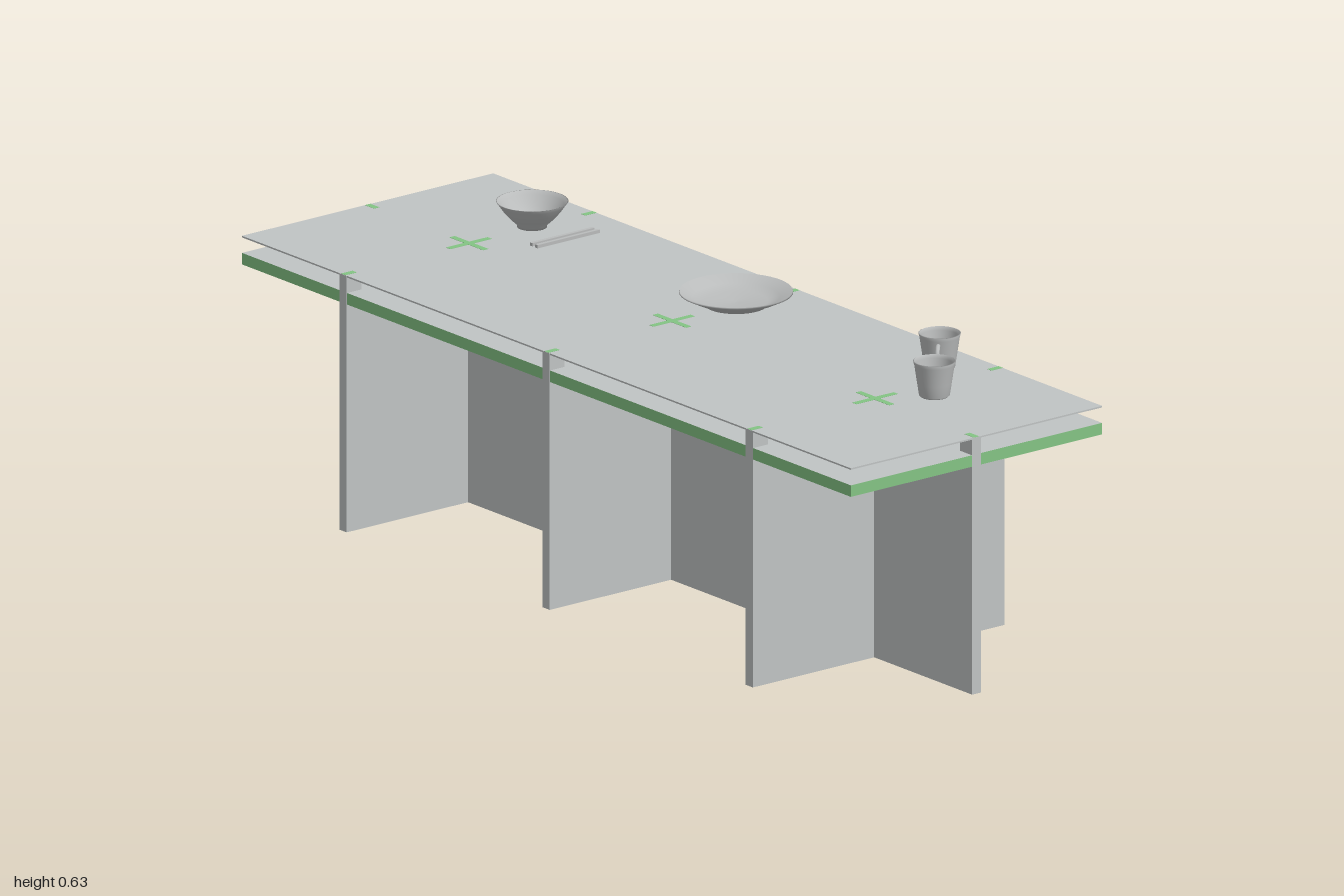
import * as THREE from 'three';

const mat = (name, color, side = THREE.FrontSide) => {
  const m = new THREE.MeshStandardMaterial({ color, side });
  m.name = name;
  return m;
};

const HALF_X = 1, HALF_Z = 0.333;          // table footprint
const SHELF_Y0 = 0.494, SHELF_Y1 = 0.519;  // thick slab
const TOP_Y0 = 0.5525, TOP_Y1 = 0.556;     // thin top sheet
const T = 0.024;                           // panel thickness
const CROSS_X = [-0.667, 0, 0.667];        // cross panel positions
const END_TAB = 0.039, MID_TAB = 0.06;

export function createModel() {
  const panelGrey = mat('panelGrey', 0xc0c4c4);
  const edgeGreen = mat('edgeGreen', 0x84c484);
  const wareGrey = mat('wareGrey', 0xbabcbc, THREE.DoubleSide);

  const model = new THREE.Group();
  model.name = 'diningTable';

  const add = (name, geo, material, x = 0, y = 0, z = 0, parent = model) => {
    const mesh = new THREE.Mesh(geo, material);
    mesh.name = name;
    mesh.position.set(x, y, z);
    parent.add(mesh);
    return mesh;
  };
  const box = (name, material, w, h, d, x, y, z) =>
    add(name, new THREE.BoxGeometry(w, h, d), material, x, y, z);

  // Upright panel whose top edge is notched into tabs; drawn in x-y
  const panelGeometry = (half, tabCentres) => {
    const h = half + 0.0008, base = SHELF_Y0 + 0.002;
    const tabs = [
      [-h, -half + END_TAB],
      ...tabCentres.map(c => [c - MID_TAB, c + MID_TAB]),
      [half - END_TAB, h],
    ];
    const s = new THREE.Shape();
    s.moveTo(h, 0);
    for (const [a, b] of tabs.reverse()) {
      // only the end blocks' outer strip passes the slab edge
      s.lineTo(b, base);
      s.lineTo(b, TOP_Y1 - 0.0002);
      s.lineTo(a, TOP_Y1 - 0.0002);
      s.lineTo(a, base);
    }
    s.lineTo(-h, 0);
    s.closePath();
    const g = new THREE.ExtrudeGeometry(s, { depth: T, bevelEnabled: false });
    g.translate(0, 0, -T / 2);
    return g;
  };

  // Base: one long panel crossed by three short ones
  add('longPanel', panelGeometry(HALF_X, CROSS_X), panelGrey);
  for (const x of CROSS_X) {
    add('crossPanel', panelGeometry(HALF_Z, [0]), panelGrey, x).rotation.y = Math.PI / 2;
  }

  // Slab with coloured edges, and the thin top sheet
  const slabMaterials = [edgeGreen, edgeGreen, panelGrey, panelGrey, edgeGreen, edgeGreen];
  box('slab', slabMaterials, 2 * HALF_X, SHELF_Y1 - SHELF_Y0, 2 * HALF_Z, 0, (SHELF_Y0 + SHELF_Y1) / 2, 0);
  box('topSheet', panelGrey, 2 * HALF_X, TOP_Y1 - TOP_Y0, 2 * HALF_Z, 0, (TOP_Y0 + TOP_Y1) / 2, 0);

  // Tab ends showing in the top sheet
  const inlay = (w, d, x, z) => box('tabInlay', edgeGreen, w, 0.001, d, x, TOP_Y1, z);
  const W = 0.014, END = 0.03;
  for (const x of CROSS_X) {
    inlay(W, 0.11, x, 0);
    inlay(0.11, W, x, 0);
    for (const s of [-1, 1]) inlay(W, END, x, s * (HALF_Z - END / 2));
  }
  for (const s of [-1, 1]) inlay(END, W, s * (HALF_X - END / 2), 0);

  // Tableware
  const lathe = (points, segments = 40) =>
    new THREE.LatheGeometry(points.map(([r, y]) => new THREE.Vector2(r, y)), segments);

  add('bowl', lathe([
    [0, 0.001], [0.031, 0.001], [0.031, 0.006], [0.046, 0.02], [0.06, 0.036], [0.069, 0.049], [0.075, 0.057],
    [0.073, 0.057], [0.066, 0.049], [0.056, 0.036], [0.042, 0.021], [0.028, 0.011], [0, 0.009],
  ]), wareGrey, -0.67, TOP_Y1, -0.17);

  add('plate', lathe([
    [0, 0.001], [0.065, 0.001], [0.068, 0.006], [0.09, 0.014], [0.118, 0.028],
    [0.117, 0.031], [0.09, 0.018], [0.066, 0.009], [0, 0.006],
  ], 48), wareGrey, 0, TOP_Y1, -0.17);

  for (const x of [-0.571, -0.554]) {
    box('chopstick', wareGrey, 0.008, 0.007, 0.165, x, TOP_Y1 + 0.004, -0.17);
  }

  const cup = (x, z, turn) => {
    const g = new THREE.Group();
    g.name = 'cup';
    g.position.set(x, TOP_Y1, z);
    g.rotation.y = turn;
    add('cupBody', lathe([
      [0, 0.001], [0.029, 0.001], [0.032, 0.004], [0.036, 0.03], [0.042, 0.07], [0.044, 0.077],
      [0.042, 0.078], [0.039, 0.07], [0.033, 0.03], [0.028, 0.008], [0, 0.006],
    ], 32), wareGrey, 0, 0, 0, g);
    const handle = new THREE.TorusGeometry(0.022, 0.005, 10, 24, Math.PI * 1.2);
    handle.rotateZ(-Math.PI * 0.6);
    add('cupHandle', handle, wareGrey, 0.051, 0.041, 0, g);
    model.add(g);
  };
  cup(0.594, -0.23, -0.75);
  cup(0.733, -0.104, Math.PI - 0.75);

  return model;
}
